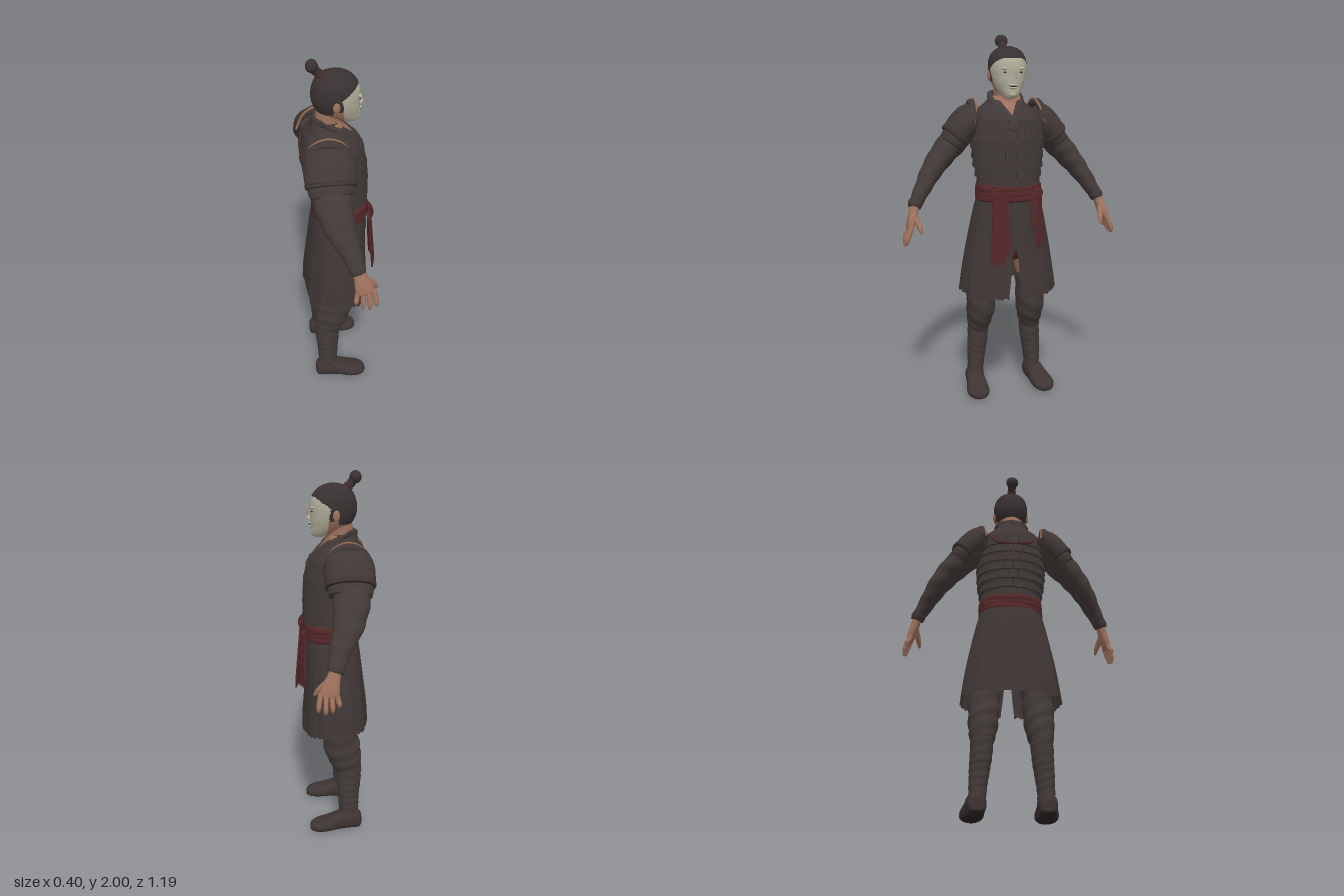
import * as THREE from 'three';

const mat = (name, color, side = THREE.FrontSide) => {
  const m = new THREE.MeshStandardMaterial({ color, side });
  m.name = name;
  return m;
};

// Catmull-Rom through stations of any dimension
function sample(st, t) {
  const n = st.length - 1, f = Math.min(t * n, n - 1e-6), i = Math.floor(f), u = f - i;
  const at = (k) => st[Math.max(0, Math.min(n, k))];
  const [a, b, c, d] = [at(i - 1), at(i), at(i + 1), at(i + 2)];
  return b.map((_, k) => b[k] + 0.5 * u * (c[k] - a[k]
    + u * (2 * a[k] - 5 * b[k] + 4 * c[k] - d[k] + u * (3 * (b[k] - c[k]) + d[k] - a[k]))));
}
const sup = (v, p) => Math.sign(v) * Math.abs(v) ** (2 / p);

// Skin through stations [x, y, z, radiusA, radiusB]; A lies along ref, B across it
function sweep(st, { n = 16, seg = 20, dir, ref = [1, 0, 0], pow = 2, gap, wob } = {}) {
  const pos = [], idx = [], R = new THREE.Vector3(...ref), rows = [];
  for (let i = 0; i <= n; i++) rows.push(sample(st, i / n));
  const cols = gap ? seg + 1 : seg;
  rows.forEach((r, i) => {
    const p = rows[Math.max(0, i - 1)], q = rows[Math.min(n, i + 1)];
    const T = dir ? new THREE.Vector3(...dir) : new THREE.Vector3(q[0] - p[0], q[1] - p[1], q[2] - p[2]).normalize();
    const V = R.clone().addScaledVector(T, -R.dot(T)).normalize(), U = T.clone().cross(V);
    const g = gap ? gap(i / n) : 0;
    for (let j = 0; j < cols; j++) {
      const a = g + (j / seg) * (Math.PI * 2 - 2 * g), w = wob ? wob(i / n, a) : 1;
      const P = new THREE.Vector3(r[0], r[1], r[2])
        .addScaledVector(V, r[3] * w * sup(Math.cos(a), pow)).addScaledVector(U, r[4] * w * sup(Math.sin(a), pow));
      pos.push(P.x, P.y, P.z);
    }
  });
  for (let i = 0; i < n; i++) for (let j = 0; j < seg; j++) {
    const k = gap ? j + 1 : (j + 1) % seg, a = i * cols + j, b = i * cols + k;
    idx.push(a, b, b + cols, a, b + cols, a + cols);
  }
  if (!gap) [0, n].forEach((i) => {
    const c = pos.length / 3;
    pos.push(...rows[i].slice(0, 3));
    for (let j = 0; j < seg; j++) {
      const a = i * seg + j, b = i * seg + (j + 1) % seg;
      idx.push(c, ...(i ? [a, b] : [b, a]));
    }
  });
  const geo = new THREE.BufferGeometry();
  geo.setAttribute('position', new THREE.Float32BufferAttribute(pos, 3));
  geo.setIndex(idx);
  geo.computeVertexNormals();
  return geo;
}

// Sort triangles into material groups by the position of their centre
function paint(geo, count, rule) {
  const p = geo.attributes.position, src = geo.index.array, bins = Array.from({ length: count }, () => []);
  for (let i = 0; i < src.length; i += 3) {
    const t = [src[i], src[i + 1], src[i + 2]];
    const mid = (f) => (f(t[0]) + f(t[1]) + f(t[2])) / 3;
    bins[rule(mid((k) => p.getX(k)), mid((k) => p.getY(k)), mid((k) => p.getZ(k)))].push(...t);
  }
  geo.setIndex(bins.flat());
  let s = 0;
  bins.forEach((b, i) => { geo.addGroup(s, b.length, i); s += b.length; });
  return geo;
}

export function createModel() {
  const root = new THREE.Group();
  root.name = 'armouredWarrior';
  const armour = mat('armour', 0x403836), cloth = mat('cloth', 0x423a38), skirtMat = mat('skirtCloth', 0x3f3735, THREE.DoubleSide);
  const hair = mat('hair', 0x393131), pale = mat('facePaint', 0xb2af9b), skin = mat('skin', 0x9e715c);
  const red = mat('sashRed', 0x552728), leather = mat('bootLeather', 0x3d3433), trim = mat('trim', 0x95694f), dark = mat('dark', 0x2c2424);
  const add = (name, geo, m, parent = root) => {
    const mesh = new THREE.Mesh(geo, m);
    mesh.name = name;
    parent.add(mesh);
    return mesh;
  };
  const ball = (name, m, p, r) => {
    const b = add(name, new THREE.SphereGeometry(1, 20, 14), m);
    b.position.set(...p);
    b.scale.set(...r);
    return b;
  };
  const up = [0, 1, 0];

  // Torso with an open neckline
  const torso = [[0.005, 1.13, 0, 0.135, 0.165], [0.01, 1.22, 0, 0.139, 0.163], [-0.005, 1.34, 0, 0.155, 0.183], [-0.02, 1.45, 0, 0.162, 0.19],
    [-0.035, 1.54, 0, 0.15, 0.185], [-0.05, 1.6, 0, 0.122, 0.155], [-0.055, 1.64, 0, 0.088, 0.11], [-0.055, 1.68, 0, 0.072, 0.076]];
  add('torso', paint(sweep(torso, { n: 48, seg: 64, dir: up, pow: 2.5 }), 2,
    (x, y, z) => (x > -0.02 && y > 1.53 && Math.abs(z) < (y - 1.53) * 0.55 ? 1 : 0)), [armour, skin]);

  // Overlapping armour plates in rows
  const plates = new THREE.Group();
  plates.name = 'armourPlates';
  root.add(plates);
  const plateGeo = new THREE.BoxGeometry(0.009, 0.056, 0.045);
  for (let row = 0; row < 7; row++) {
    const y = 1.225 + row * 0.05;
    let t = 0;
    while (sample(torso, t)[1] < y) t += 0.005;
    const [cx, , , rx, rz] = sample(torso, t);
    for (let j = 0; j < 26; j++) {
      const a = ((j + (row % 2) * 0.5) / 26) * Math.PI * 2, c = sup(Math.cos(a), 2.3), s = sup(Math.sin(a), 2.3);
      const p = add('plate', plateGeo, armour, plates);
      p.position.set(cx + c * rx * 1.005, y, s * rz * 1.005);
      p.rotation.set(0, -Math.atan2(s / rz, c / rx), 0.07 + (row > 4 ? 0.14 : 0));
    }
  }
  // Red cord over both shoulders and across the back
  const cord = [[0.03, 1.6, 0.112], [-0.05, 1.628, 0.113], [-0.12, 1.6, 0.118], [-0.165, 1.55, 0.12], [-0.187, 1.51, 0.09], [-0.19, 1.505, 0]];
  const mirrored = cord.slice(0, -1).reverse().map(([x, y, z]) => [x, y, -z]);
  add('shoulderCord', new THREE.TubeGeometry(new THREE.CatmullRomCurve3(cord.concat(mirrored).map((p) => new THREE.Vector3(...p))), 60, 0.006, 8), red);

  // Collar bands crossing on the chest
  for (const s of [1, -1]) {
    add('collarBand', sweep([[-0.128, 1.675, 0, 0.01, 0.024], [-0.085, 1.68, 0.07 * s, 0.01, 0.024], [-0.01, 1.655, 0.072 * s, 0.01, 0.024],
      [0.06, 1.6, 0.042 * s, 0.012, 0.024], [0.118, 1.535, 0, 0.012, 0.022], [0.13, 1.5, -0.02 * s, 0.008, 0.018]], { n: 24, seg: 12, pow: 3 }), cloth);
  }

  // Sash wraps, folded knots and hanging tails
  [1.142, 1.168, 1.193].forEach((y, i) => add('sashWrap', sweep([[0.01, y - 0.022, 0, 0.141, 0.172], [0.01, y - 0.012, 0, 0.15, 0.18],
    [0.01, y + 0.012, 0, 0.148, 0.177], [0.01, y + 0.02, 0, 0.138, 0.168]], { n: 9, seg: 48, dir: up, pow: 2.4, wob: (t, a) => 1 + 0.008 * Math.sin(a * 3 + i * 2) }), red));
  for (const [z, r] of [[0.1, 0.042], [-0.12, 0.03]]) {
    add('sashKnot', sweep([[0.15, 1.205, z, 0.008, r * 0.7], [0.163, 1.175, z, 0.014, r], [0.164, 1.15, z, 0.014, r * 0.8], [0.155, 1.12, z, 0.008, r * 0.9]],
      { n: 10, seg: 16, dir: up, pow: 3 }), red);
  }
  const tail = (z, w, bottom, x, flare) => {
    const shape = new THREE.Shape();
    shape.moveTo(-w * 0.6, 1.17).lineTo(w * 0.6, 1.17).lineTo(w * 0.8, 1).lineTo(w, bottom + 0.06);
    for (let k = 1; k < 6; k++) shape.lineTo(w - (k / 6) * 2 * w, bottom + (k % 2 ? 0 : 0.03));
    shape.lineTo(-w, bottom + 0.01).lineTo(-w * 0.8, 1);
    const geo = new THREE.ExtrudeGeometry(shape, { depth: 0.009, bevelEnabled: false });
    geo.rotateY(Math.PI / 2);
    const p = geo.attributes.position;
    for (let i = 0; i < p.count; i++) p.setX(i, p.getX(i) + 0.155 + (1.17 - p.getY(i)) / (1.17 - bottom) * x - p.getZ(i) * flare);
    geo.translate(0, 0, z);
    geo.computeVertexNormals();
    add('sashTail', geo, red);
  };
  tail(0.1, 0.04, 0.78, 0.03, 0.3);
  tail(0.065, 0.034, 0.83, 0.02, -0.1);
  tail(-0.132, 0.023, 0.87, 0.012, -0.5);
  tail(-0.095, 0.014, 0.97, 0.012, 0);

  // Long split skirt with folds and a ragged hem
  const skirt = sweep([[0.005, 1.15, 0, 0.14, 0.168], [0, 1.05, 0, 0.15, 0.195], [-0.01, 0.88, 0, 0.161, 0.23],
    [-0.015, 0.73, 0, 0.174, 0.255], [-0.013, 0.61, 0, 0.182, 0.27]].reverse(), {
    n: 24, seg: 96, dir: up, pow: 2.4, gap: (t) => 0.004 + 0.09 * (1 - t) ** 2,
    wob: (t, a) => 1 + (1 - t) * (0.018 * Math.sin(a * 11) + 0.01 * Math.sin(a * 23 + 1)),
  });
  for (let j = 0; j <= 96; j++) {
    const a = (j / 96) * Math.PI * 2;
    skirt.attributes.position.setY(j, 0.618 + 0.007 * Math.sin(j * 2.4) - 0.03 * Math.max(0, Math.cos(a)));
  }
  skirt.computeVertexNormals();
  add('skirt', skirt, skirtMat);
  add('loincloth', paint(sweep([[-0.01, 0.78, 0, 0.07, 0.08], [-0.01, 0.86, 0, 0.11, 0.16], [-0.005, 1.1, 0, 0.12, 0.155]], { dir: up }), 2,
    (x, y) => (y < 0.83 ? 1 : 0)), [cloth, red]);

  for (const s of [1, -1]) {
    const m = (list) => list.map(([x, y, z, a, b]) => [x, y, z * s, a, b]);

    // Legs: bare thigh, baggy trousers, wrapped shin
    add('thigh', sweep(m([[-0.02, 0.66, 0.14, 0.085, 0.075], [-0.01, 0.78, 0.125, 0.095, 0.085], [-0.01, 0.92, 0.11, 0.1, 0.09]])), skin);
    add('trouserLeg', sweep(m([[-0.085, 0.36, 0.155, 0.068, 0.055], [-0.07, 0.42, 0.15, 0.086, 0.07], [-0.047, 0.5, 0.146, 0.1, 0.08],
      [-0.032, 0.6, 0.142, 0.095, 0.082], [-0.02, 0.7, 0.137, 0.096, 0.084]]), { n: 40, seg: 28, wob: (t, a) => 1 + 0.03 * Math.sin(t * 26 + 2.5 * Math.sin(a)) }), cloth);
    add('shinWrap', sweep(m([[-0.083, 0.06, 0.172, 0.055, 0.044], [-0.082, 0.14, 0.17, 0.056, 0.046], [-0.082, 0.22, 0.164, 0.06, 0.052],
      [-0.083, 0.3, 0.157, 0.068, 0.057], [-0.083, 0.4, 0.152, 0.072, 0.06]]), { n: 48, seg: 24, wob: (t, a) => 1 + 0.018 * Math.sin(t * 50 + 2 * Math.sin(a)) }), cloth);
    add('boot', paint(sweep(m([[-0.155, 0.045, 0.175, 0.03, 0.02], [-0.14, 0.052, 0.175, 0.05, 0.042], [-0.08, 0.06, 0.177, 0.058, 0.052],
      [-0.02, 0.052, 0.183, 0.051, 0.053], [0.04, 0.039, 0.19, 0.038, 0.062], [0.09, 0.033, 0.193, 0.031, 0.06], [0.125, 0.028, 0.193, 0.023, 0.042],
      [0.14, 0.024, 0.193, 0.012, 0.018]]), { n: 28, seg: 32, dir: [1, 0, 0], ref: up, pow: 2.4 }), 2, (x, y) => (y < 0.016 ? 1 : 0)), [leather, dark]);

    // Sleeve, cuff and hand
    add('sleeve', sweep(m([[-0.075, 1.54, 0.19, 0.1, 0.08], [-0.075, 1.45, 0.27, 0.102, 0.075], [-0.065, 1.37, 0.345, 0.092, 0.068], [-0.042, 1.285, 0.412, 0.076, 0.057],
      [-0.003, 1.2, 0.468, 0.056, 0.045], [0.025, 1.115, 0.517, 0.04, 0.035]]), { n: 48, seg: 28, wob: (t, a) => 1 + 0.03 * Math.sin(t * 36 + 2.2 * Math.sin(a)) }), cloth);
    add('cuff', sweep(m([[0.018, 1.135, 0.507, 0.042, 0.036], [0.023, 1.12, 0.515, 0.045, 0.039], [0.03, 1.1, 0.523, 0.04, 0.034]]), { n: 8 }), armour);
    add('palm', sweep(m([[0.027, 1.115, 0.518, 0.03, 0.024], [0.038, 1.075, 0.53, 0.034, 0.024], [0.052, 1.035, 0.543, 0.046, 0.023],
      [0.06, 1.0, 0.553, 0.048, 0.019], [0.062, 0.985, 0.557, 0.042, 0.014]]), { pow: 2.4 }), skin);
    for (let k = 0; k < 4; k++) {
      const x = 0.026 + k * 0.025, e = [0.03, 0.008, 0, 0.012][k], dx = (k - 1.5) * 0.009, z = [-0.008, 0, 0.004, -0.003][k];
      add('finger', sweep(m([[x, 1.01, 0.55, 0.013, 0.013], [x + dx * 0.7, 0.965, 0.569 + z, 0.013, 0.013],
        [x + dx, 0.925 + e, 0.58 + z, 0.012, 0.012], [x + dx, 0.905 + e, 0.579 + z, 0.005, 0.005]]), { n: 10, seg: 10 }), skin);
    }
    add('thumb', sweep(m([[0.05, 1.065, 0.53, 0.017, 0.017], [0.085, 1.035, 0.518, 0.017, 0.016], [0.115, 1.0, 0.507, 0.014, 0.013],
      [0.132, 0.975, 0.503, 0.005, 0.005]]), { n: 10, seg: 10 }), skin);

    // Layered, domed shoulder guard with edging
    add('shoulderGuard', sweep(m([[-0.07, 1.59, 0.165, 0.108, 0.06], [-0.07, 1.565, 0.19, 0.124, 0.078], [-0.07, 1.525, 0.226, 0.131, 0.083],
      [-0.07, 1.475, 0.268, 0.128, 0.079], [-0.07, 1.46, 0.28, 0.123, 0.074]]), { n: 20, seg: 36, pow: 2.1 }), armour);
    add('guardLame', sweep(m([[-0.07, 1.49, 0.245, 0.115, 0.07], [-0.07, 1.45, 0.277, 0.118, 0.073], [-0.068, 1.415, 0.303, 0.108, 0.068]]),
      { n: 8, seg: 36, pow: 2.1 }), armour);
    add('guardRim', sweep(m([[-0.07, 1.475, 0.268, 0.13, 0.081], [-0.07, 1.464, 0.277, 0.131, 0.082], [-0.07, 1.456, 0.284, 0.126, 0.078]]),
      { n: 4, seg: 36, pow: 2.1 }), leather);
    add('guardFlange', sweep(m([[-0.19, 1.54, 0.165, 0.014, 0.012], [-0.15, 1.61, 0.178, 0.022, 0.018], [-0.07, 1.642, 0.185, 0.024, 0.02],
      [0.01, 1.61, 0.19, 0.022, 0.018], [0.052, 1.54, 0.2, 0.014, 0.012]]), { n: 20, seg: 10, ref: [0, 0, 1] }), armour);
    add('guardTrim', sweep(m([[-0.195, 1.54, 0.155, 0.006, 0.006], [-0.15, 1.626, 0.165, 0.006, 0.006], [-0.07, 1.66, 0.17, 0.006, 0.006],
      [0.012, 1.626, 0.176, 0.006, 0.006], [0.057, 1.54, 0.195, 0.006, 0.006]]), { n: 20, seg: 8, ref: [0, 0, 1] }), trim);
    for (let k = 0; k < 6; k++) ball('stud', trim, [-0.14 + k * 0.028, 1.578 - Math.abs(k - 2.5) * 0.008, 0.28 * s], [0.004, 0.004, 0.004]);

    // Ears, eyes and brows
    ball('ear', skin, [-0.016, 1.785, 0.096 * s], [0.018, 0.03, 0.009]);
    ball('eye', dark, [0.103, 1.802, 0.039 * s], [0.005, 0.004, 0.015]).rotation.y = 0.35 * s;
    ball('brow', pale, [0.1, 1.82, 0.04 * s], [0.013, 0.008, 0.028]).rotation.set(-0.1 * s, 0.35 * s, 0);
  }

  // Neck and head: hair, painted face and bare skin share one form
  add('neck', sweep([[-0.055, 1.58, 0, 0.075, 0.07], [-0.045, 1.66, 0, 0.072, 0.063], [-0.03, 1.75, 0, 0.075, 0.066]], { dir: up, n: 10 }), skin);
  const headRows = [[1.664, 0.04, 0.092, 0.018], [1.675, 0.0, 0.105, 0.037], [1.695, -0.05, 0.11, 0.055], [1.72, -0.09, 0.11, 0.072], [1.75, -0.115, 0.113, 0.086],
    [1.785, -0.129, 0.113, 0.096], [1.82, -0.132, 0.115, 0.1], [1.86, -0.125, 0.109, 0.098], [1.895, -0.108, 0.09, 0.086],
    [1.922, -0.076, 0.058, 0.06], [1.936, -0.035, 0.018, 0.024]].map(([y, b, f, w]) => [(b + f) / 2, y, 0, (f - b) / 2, w]);
  add('head', paint(sweep(headRows, { n: 80, seg: 96, dir: up, pow: 2.15 }), 3, (x, y) => {
    if (x > 0.012 + (y > 1.82 ? (y - 1.82) * 1.45 : (1.82 - y) * 0.12) && y < 1.875) return 1;
    return y < 1.735 || (x > -0.03 && y < 1.755) ? 2 : 0;
  }), [hair, pale, skin]);
  add('nose', sweep([[0.106, 1.825, 0, 0.01, 0.009], [0.114, 1.795, 0, 0.012, 0.011], [0.117, 1.77, 0, 0.016, 0.017],
    [0.111, 1.757, 0, 0.01, 0.012]], { n: 12, seg: 14, dir: up }), pale);
  ball('upperLip', pale, [0.107, 1.736, 0], [0.014, 0.007, 0.026]);
  ball('mouth', dark, [0.113, 1.729, 0], [0.007, 0.002, 0.022]);
  ball('lowerLip', pale, [0.107, 1.721, 0], [0.014, 0.007, 0.022]);
  ball('chin', pale, [0.095, 1.688, 0], [0.018, 0.016, 0.026]);

  // Topknot
  add('topknotStem', sweep([[-0.06, 1.89, 0, 0.035, 0.035], [-0.09, 1.925, 0, 0.023, 0.022], [-0.115, 1.955, 0, 0.025, 0.026]], { n: 8 }), hair);
  ball('topknot', hair, [-0.123, 1.967, 0], [0.031, 0.033, 0.036]);
  const tie = add('topknotTie', new THREE.TorusGeometry(0.022, 0.005, 8, 20), red);
  tie.position.set(-0.088, 1.923, 0);
  tie.rotation.set(Math.PI / 2, 0.7, 0);
  return root;
}
